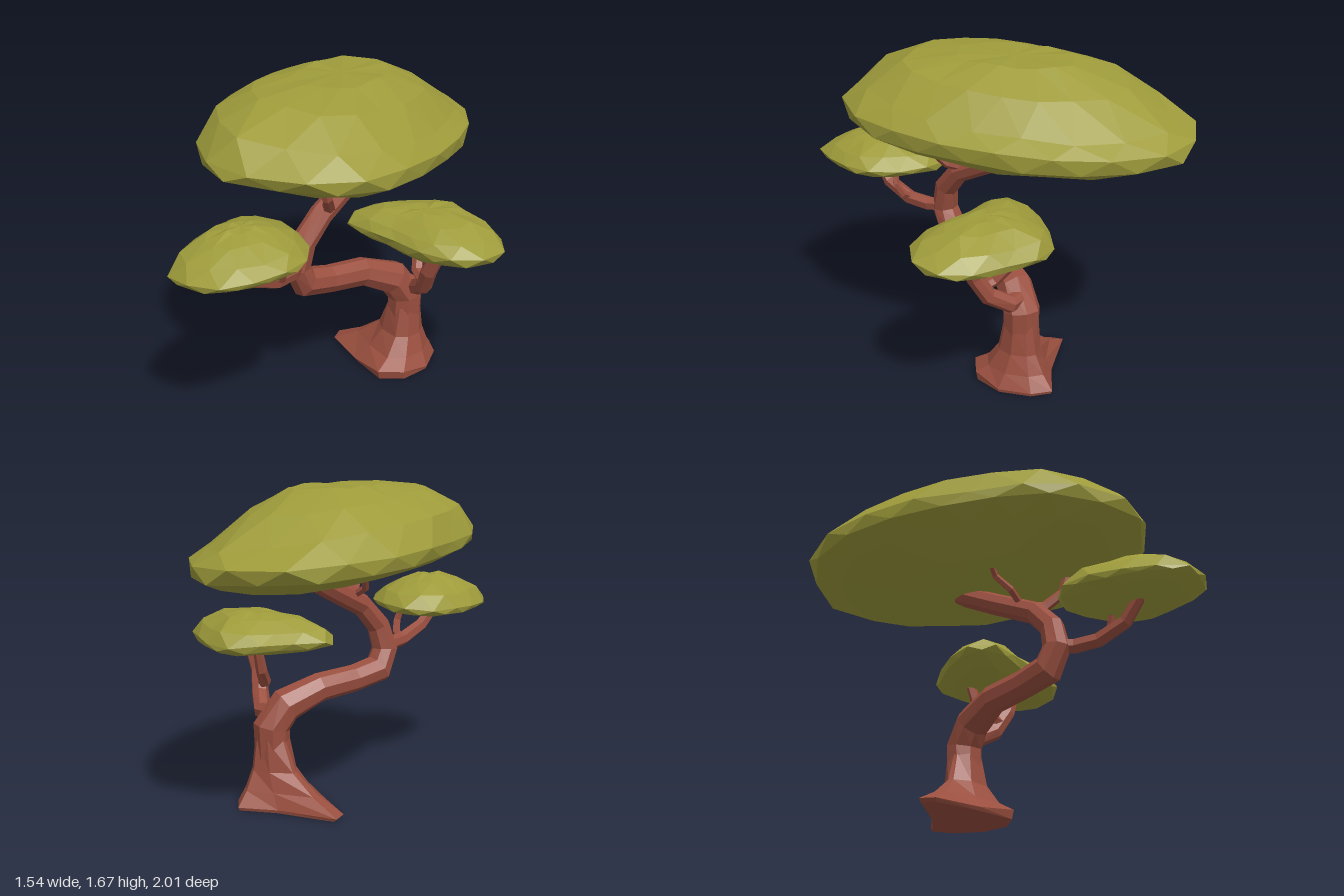
import * as THREE from 'three';

const bark = new THREE.MeshStandardMaterial({ name: 'bark', color: 0x9a4f3f, flatShading: true });
const foliage = new THREE.MeshStandardMaterial({ name: 'foliage', color: 0x9e9b3b, flatShading: true });

// Seeded random in -1..1
function seeded(seed) {
  let s = seed;
  return () => {
    s = (s * 16807) % 2147483647;
    return (s / 2147483647) * 2 - 1;
  };
}

// Skin over rings of equal length, closed at both ends with a fan
function loft(rings) {
  const n = rings[0].length;
  const pos = [];
  const tri = (a, b, c) => pos.push(...a.toArray(), ...b.toArray(), ...c.toArray());
  const middle = (ring) => ring.reduce((m, p) => m.add(p), new THREE.Vector3()).divideScalar(n);
  for (let i = 0; i < rings.length - 1; i++) {
    const a = rings[i], b = rings[i + 1];
    for (let j = 0; j < n; j++) {
      const k = (j + 1) % n;
      tri(a[j], a[k], b[j]);
      tri(a[k], b[k], b[j]);
    }
  }
  const first = rings[0], last = rings[rings.length - 1];
  const m0 = middle(first), m1 = middle(last);
  for (let j = 0; j < n; j++) {
    const k = (j + 1) % n;
    tri(m0, first[k], first[j]);
    tri(m1, last[j], last[k]);
  }
  const geo = new THREE.BufferGeometry();
  geo.setAttribute('position', new THREE.Float32BufferAttribute(pos, 3));
  geo.computeVertexNormals();
  return geo;
}

// Faceted limb through points [x, y, z, radius]
function limb(name, path, sides) {
  const pts = path.map(([x, y, z]) => new THREE.Vector3(x, y, z));
  const normal = new THREE.Vector3(0.3, 0.1, 1);
  const rings = pts.map((p, i) => {
    const t = pts[Math.min(i + 1, pts.length - 1)].clone().sub(pts[Math.max(i - 1, 0)]).normalize();
    normal.addScaledVector(t, -normal.dot(t)).normalize();
    const side = t.clone().cross(normal);
    return Array.from({ length: sides }, (_, j) => {
      const a = (j / sides) * Math.PI * 2;
      return p.clone()
        .addScaledVector(normal, Math.cos(a) * path[i][3])
        .addScaledVector(side, Math.sin(a) * path[i][3]);
    });
  });
  const mesh = new THREE.Mesh(loft(rings), bark);
  mesh.name = name;
  return mesh;
}

// Leaf pad: an outline [x, z] scaled about its centre at each layer [scale, y, tiltX, tiltZ]
function leafPad(name, outline, [cx, cz], layers, sides, jitter, seed) {
  const rnd = seeded(seed);
  const curve = new THREE.CatmullRomCurve3(outline.map(([x, z]) => new THREE.Vector3(x, 0, z)), true);
  const rings = layers.map(([scale, y, tiltX, tiltZ], i) =>
    Array.from({ length: sides }, (_, j) => {
      const p = curve.getPointAt(((j + (i + 1) * 0.5) / sides) % 1);
      const s = scale * (1 + (scale < 0.9 ? rnd() * jitter : 0));
      const dx = (p.x - cx) * s, dz = (p.z - cz) * s;
      return new THREE.Vector3(cx + dx, y + tiltX * dx + tiltZ * dz + rnd() * jitter * 0.2, cz + dz);
    }));
  const mesh = new THREE.Mesh(loft(rings), foliage);
  mesh.name = name;
  return mesh;
}

// Flared root foot blending from a ground outline to a round trunk
function rootFoot() {
  const ground = [[0.14, 0.1], [0.28, 0.09], [0.4, -0.03], [0.44, -0.2], [0.41, -0.31],
    [0.2, -0.31], [-0.12, -0.38], [-0.14, -0.3], [0.0, -0.08]];
  const levels = [[0.005, 0.06], [0.022, 0], [0.1, 0.44], [0.2, 0.82], [0.36, 1]];
  const rings = levels.map(([y, t]) => ground.map(([x, z], j) => {
    const a = Math.atan2(x - 0.19, z + 0.13);
    const lift = j < 2 && y > 0.01 && y < 0.1 ? 0.03 : 0;
    return new THREE.Vector3(
      THREE.MathUtils.lerp(x, 0.264 + Math.sin(a) * 0.09, t), y + lift,
      THREE.MathUtils.lerp(z, -0.146 + Math.cos(a) * 0.09, t));
  }));
  const mesh = new THREE.Mesh(loft(rings), bark);
  mesh.name = 'rootFoot';
  return mesh;
}

export function createModel() {
  const tree = new THREE.Group();
  tree.name = 'tree';

  // Trunk: upright, then swept forward to the right, then back up
  tree.add(rootFoot());
  tree.add(limb('trunk', [
    [0.262, 0.22, -0.145, 0.092], [0.268, 0.42, -0.148, 0.097], [0.2, 0.53, -0.11, 0.093],
    [0.04, 0.608, -0.01, 0.077], [-0.12, 0.63, 0.13, 0.073], [-0.235, 0.665, 0.24, 0.08],
    [-0.265, 0.77, 0.28, 0.072], [-0.23, 0.9, 0.265, 0.064], [-0.15, 1.02, 0.19, 0.06],
    [-0.02, 1.13, 0.0, 0.058], [0.08, 1.22, -0.15, 0.056], [0.13, 1.28, -0.23, 0.05],
  ], 8));

  // Branches, each pair holding one leaf pad
  tree.add(limb('leftBranch', [[0.25, 0.5, -0.15, 0.047], [0.33, 0.49, -0.09, 0.049],
    [0.37, 0.555, 0.02, 0.047], [0.395, 0.67, 0.09, 0.043], [0.455, 0.82, 0.13, 0.036]], 7));
  tree.add(limb('leftTwig', [[0.37, 0.6, 0.06, 0.03], [0.335, 0.625, -0.01, 0.033],
    [0.335, 0.7, -0.08, 0.03], [0.345, 0.82, -0.115, 0.025]], 6));
  tree.add(limb('rightBranch', [[-0.24, 0.79, 0.26, 0.04], [-0.28, 0.775, 0.37, 0.04],
    [-0.34, 0.785, 0.48, 0.039], [-0.43, 0.845, 0.6, 0.036], [-0.51, 0.96, 0.67, 0.03]], 6));
  tree.add(limb('rightTwig', [[-0.34, 0.785, 0.47, 0.022], [-0.3, 0.82, 0.51, 0.022],
    [-0.3, 0.88, 0.55, 0.02], [-0.33, 0.97, 0.56, 0.016]], 5));
  tree.add(limb('topBranch', [[-0.13, 1.05, 0.14, 0.03], [-0.1, 1.085, 0.25, 0.03],
    [-0.1, 1.17, 0.345, 0.028], [-0.12, 1.33, 0.385, 0.022]], 6));
  tree.add(limb('topTwig', [[-0.12, 1.08, 0.12, 0.02], [-0.19, 1.13, 0.06, 0.02],
    [-0.2, 1.2, -0.02, 0.018], [-0.26, 1.3, -0.07, 0.014]], 5));

  // Leaf pads
  tree.add(leafPad('topLeaves', [
    [-0.14, 0.79], [0.16, 0.65], [0.3, 0.46], [0.42, 0.26], [0.5, 0.06], [0.57, -0.2],
    [0.57, -0.5], [0.5, -0.74], [0.35, -0.94], [0.17, -0.98], [-0.02, -1.005], [-0.3, -0.86],
    [-0.56, -0.49], [-0.65, -0.2], [-0.725, 0.03], [-0.725, 0.33], [-0.64, 0.56], [-0.51, 0.72],
    [-0.32, 0.75]], [-0.07, -0.1], [
    [0.42, 1.22, -0.05, 0.03], [0.8, 1.265, -0.08, 0.03], [0.98, 1.325, -0.06, 0.03],
    [1, 1.39, -0.045, 0.03], [0.87, 1.485, -0.12, 0.035], [0.63, 1.603, -0.09, 0.045],
    [0.34, 1.67, -0.03, 0.01]], 18, 0.03, 11));
  tree.add(leafPad('rightLeaves', [
    [-0.5, 1], [-0.41, 0.95], [-0.26, 0.84], [-0.17, 0.73], [-0.16, 0.55], [-0.22, 0.4],
    [-0.36, 0.28], [-0.54, 0.28], [-0.68, 0.45], [-0.77, 0.67], [-0.785, 0.8], [-0.72, 0.91]],
    [-0.47, 0.63], [
    [0.4, 0.928, 0, 0], [0.75, 0.94, 0.03, 0], [0.96, 0.965, 0.05, 0.03], [1, 0.993, 0.05, 0.03],
    [0.82, 1.055, 0, 0], [0.5, 1.112, 0, 0], [0.2, 1.138, 0, 0]], 13, 0.04, 23));
  tree.add(leafPad('leftLeaves', [
    [0.35, 0.32], [0.5, 0.39], [0.66, 0.365], [0.75, 0.27], [0.785, 0.16], [0.72, 0],
    [0.64, -0.13], [0.57, -0.24], [0.47, -0.3], [0.24, -0.27], [0.05, -0.2], [-0.06, -0.1],
    [-0.02, 0.01], [0.18, 0.16]], [0.38, 0.03], [
    [0.4, 0.788, -0.02, 0], [0.73, 0.805, -0.03, 0], [0.96, 0.845, -0.03, 0.03],
    [1, 0.878, -0.03, 0.04], [0.84, 0.93, -0.02, 0.02], [0.55, 0.98, 0, 0],
    [0.25, 1.003, 0, 0]], 14, 0.04, 37));

  return tree;
}
